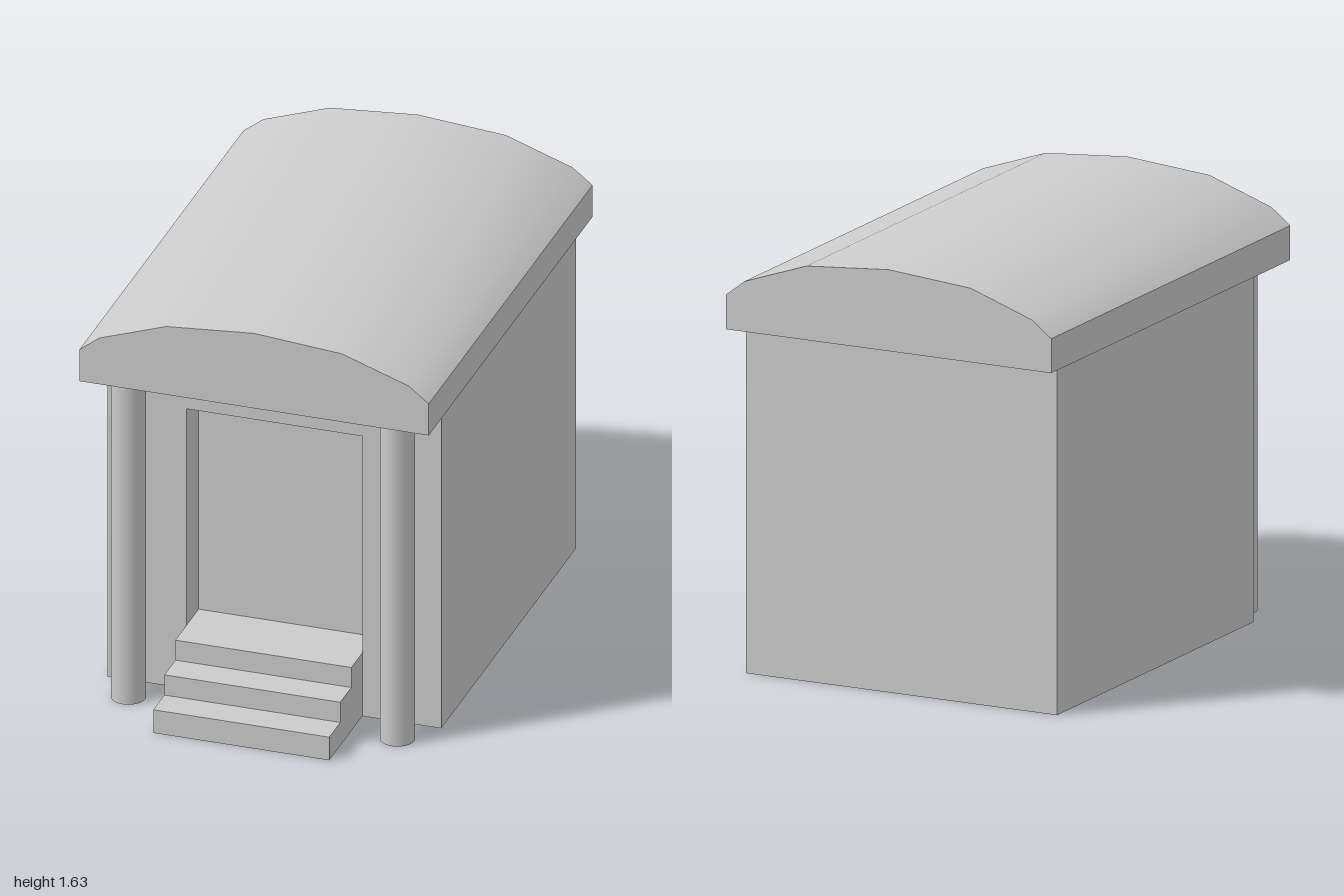
import * as THREE from 'three';
import { toCreasedNormals } from 'three/addons/utils/BufferGeometryUtils.js';

const material = new THREE.MeshStandardMaterial({ color: 0xcccccc, side: THREE.DoubleSide });

const WALL_X = 0.645, FRONT = 0.625, BACK = -0.9, EAVES = 1.32;
const DOOR_X = 0.34, DOOR_TOP = 1.15, DOOR_BACK = 0.487;
const STEP_TOPS = [0.26, 0.178, 0.095], STEP_FRONTS = [0.75, 0.875, 1];

// Sweeps a 3D polyline along an offset into a flat-faced thin sheet
function ribbon(points, offset) {
  const o = new THREE.Vector3(...offset);
  const pts = points.map((p) => new THREE.Vector3(...p));
  const corners = [];
  for (let i = 0; i < pts.length - 1; i++) {
    const a = pts[i], b = pts[i + 1];
    const c = b.clone().add(o), d = a.clone().add(o);
    corners.push(a, b, c, a, c, d);
  }
  const geometry = new THREE.BufferGeometry().setFromPoints(corners);
  geometry.computeVertexNormals();
  return geometry;
}

const outline = (points) => new THREE.Shape(points.map(([x, y]) => new THREE.Vector2(x, y)));

export function createModel() {
  const model = new THREE.Group();
  model.name = 'porchedHut';
  const add = (name, geometry, x = 0, y = 0, z = 0) => {
    const mesh = new THREE.Mesh(geometry, material);
    mesh.name = name;
    mesh.position.set(x, y, z);
    model.add(mesh);
  };

  // Side and back walls, open underneath
  add('sideAndBackWalls', ribbon([
    [WALL_X, 0, FRONT], [WALL_X, 0, BACK], [-WALL_X, 0, BACK], [-WALL_X, 0, FRONT],
  ], [0, EAVES, 0]));

  // Front wall with the doorway cut down to the ground
  add('frontWall', new THREE.ShapeGeometry(outline([
    [-WALL_X, 0], [-DOOR_X, 0], [-DOOR_X, DOOR_TOP], [DOOR_X, DOOR_TOP],
    [DOOR_X, 0], [WALL_X, 0], [WALL_X, EAVES], [-WALL_X, EAVES],
  ])), 0, 0, FRONT);

  // Recessed door: jambs, panel and soffit
  const sill = STEP_TOPS[0];
  add('doorRecess', ribbon([
    [-DOOR_X, sill, FRONT], [-DOOR_X, sill, DOOR_BACK],
    [DOOR_X, sill, DOOR_BACK], [DOOR_X, sill, FRONT],
  ], [0, DOOR_TOP - sill, 0]));
  add('doorSoffit', ribbon([
    [-DOOR_X, DOOR_TOP, FRONT], [-DOOR_X, DOOR_TOP, DOOR_BACK],
  ], [2 * DOOR_X, 0, 0]));

  // Hollow steps: treads and risers folded from one sheet, plus side cheeks
  const profile = [];
  STEP_TOPS.forEach((y, i) => {
    profile.push([i ? STEP_FRONTS[i - 1] : DOOR_BACK, y], [STEP_FRONTS[i], y]);
  });
  profile.push([STEP_FRONTS[2], 0]);
  add('steps', ribbon(profile.map(([z, y]) => [-DOOR_X, y, z]), [2 * DOOR_X, 0, 0]));
  const cheek = new THREE.ShapeGeometry(outline([[FRONT, 0], [FRONT, sill], ...profile.slice(1)]));
  cheek.rotateY(-Math.PI / 2);
  add('rightStepSide', cheek, -DOOR_X);
  add('leftStepSide', cheek, DOOR_X);

  // Porch columns, open at the ends
  const column = new THREE.CylinderGeometry(0.064, 0.064, EAVES, 32, 1, true);
  add('rightColumn', column, -0.52, EAVES / 2, 0.755);
  add('leftColumn', column, 0.52, EAVES / 2, 0.755);

  // Arched roof slab, smooth over the crown and sharp at the eaves
  const half = [[0.675, EAVES], [0.675, 1.45], [0.598, 1.51], [0.34, 1.6]];
  const mirrored = half.map(([x, y]) => [-x, y]).reverse();
  const roof = new THREE.ExtrudeGeometry(outline([...half, [0, 1.628], ...mirrored]), {
    depth: 1.855, bevelEnabled: false,
  });
  add('roof', toCreasedNormals(roof, 0.7), 0, 0, -1);

  return model;
}
